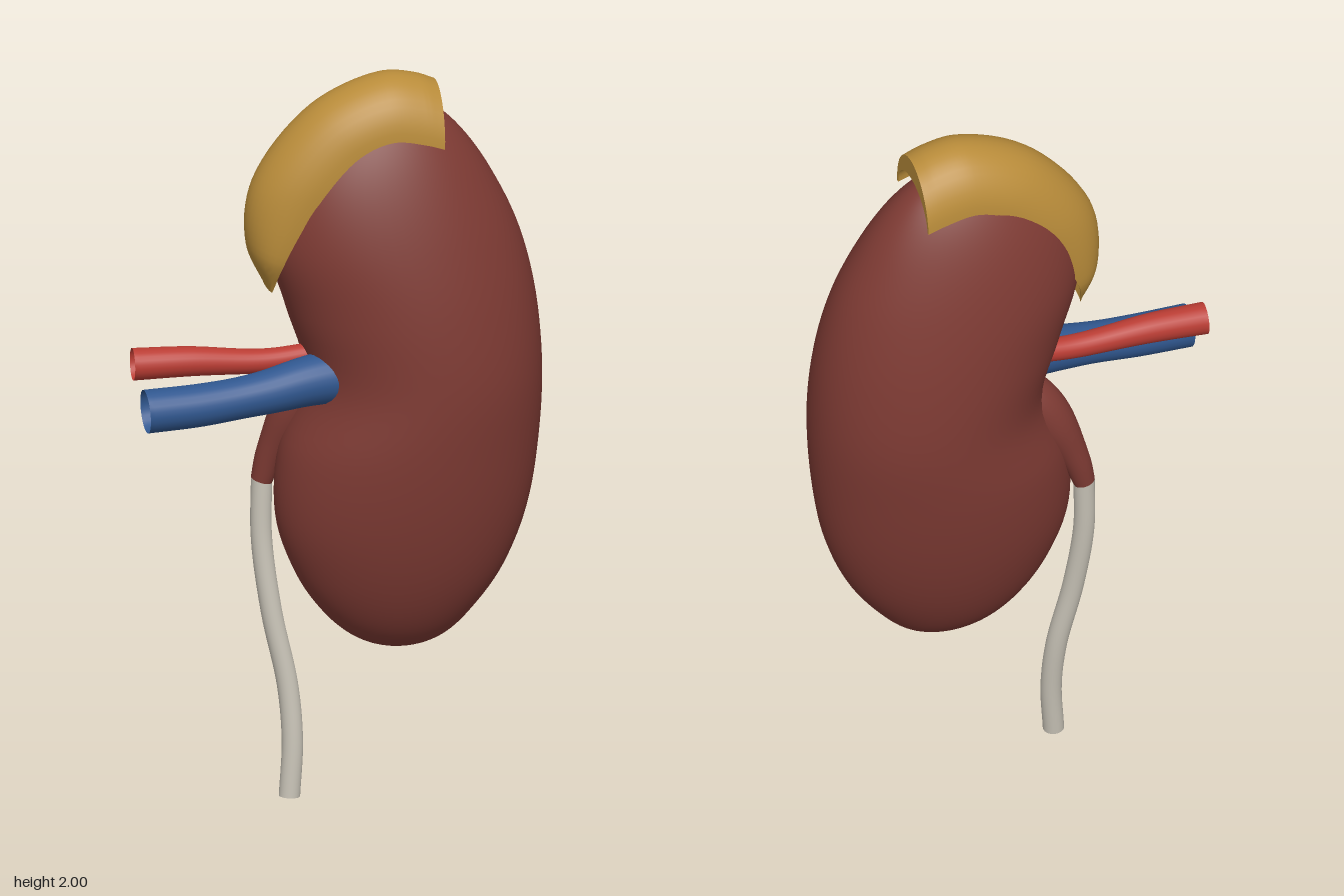
import * as THREE from 'three';
import { toCreasedNormals } from 'three/addons/utils/BufferGeometryUtils.js';

const mat = (name, color, side = THREE.FrontSide) => {
  const m = new THREE.MeshStandardMaterial({ color, side });
  m.name = name;
  return m;
};

// Smooth curve through [x, y, z] points
const curve = (pts) => new THREE.CatmullRomCurve3(pts.map(([x, y, z = 0]) => new THREE.Vector3(x, y, z)));

// Skin over closed rings of equal length
function loft(rings) {
  const n = rings[0].length, index = [];
  for (let i = 0; i < rings.length - 1; i++) {
    for (let j = 0; j < n; j++) {
      const a = i * n + j, b = i * n + (j + 1) % n;
      index.push(a, a + n, b, b, a + n, b + n);
    }
  }
  const g = new THREE.BufferGeometry();
  g.setAttribute('position', new THREE.Float32BufferAttribute(rings.flat(2), 3));
  g.setIndex(index);
  g.computeVertexNormals();
  return g;
}

// Tube whose radius follows a list of values along its length
function vessel(pts, radii) {
  const path = curve(pts), segs = 40, sides = 24;
  const g = new THREE.TubeGeometry(path, segs, 1, sides);
  const width = curve(radii.map((r, i) => [r, i]));
  const pos = g.attributes.position, p = new THREE.Vector3();
  for (let i = 0; i <= segs; i++) {
    const c = path.getPointAt(i / segs), r = width.getPoint(i / segs).x;
    for (let j = 0; j <= sides; j++) {
      const k = i * (sides + 1) + j;
      p.fromBufferAttribute(pos, k).sub(c).multiplyScalar(r).add(c);
      pos.setXYZ(k, p.x, p.y, p.z);
    }
  }
  g.computeVertexNormals();
  // keep the seam smooth
  const nor = g.attributes.normal, q = new THREE.Vector3();
  for (let i = 0; i <= segs; i++) {
    const a = i * (sides + 1), b = a + sides;
    p.fromBufferAttribute(nor, a).add(q.fromBufferAttribute(nor, b)).normalize();
    nor.setXYZ(a, p.x, p.y, p.z);
    nor.setXYZ(b, p.x, p.y, p.z);
  }
  return g;
}

// Bean body: elliptical slices between a notched inner edge and a round outer edge
function bodyGeometry() {
  const inner = [0.17, 0.06, -0.035, -0.115, -0.165, -0.155, -0.085, -0.135, -0.188, -0.165, -0.085, 0.035, 0.16];
  const outer = [0.17, 0.275, 0.36, 0.445, 0.505, 0.535, 0.545, 0.53, 0.487, 0.415, 0.335, 0.25, 0.16];
  const left = curve(inner.map((x, i) => [x, i])), right = curve(outer.map((x, i) => [x, i]));
  const rings = [], steps = 72, sides = 64;
  for (let i = 0; i <= steps; i++) {
    const u = i / steps, t = u * Math.PI;
    const y = 1.167 - 0.762 * Math.cos(t);
    const l = left.getPoint(u).x, r = right.getPoint(u).x;
    const depth = 0.253 * Math.pow(Math.max(0, Math.sin(t)), 1.05);
    const ring = [];
    for (let j = 0; j < sides; j++) {
      const a = j / sides * Math.PI * 2;
      ring.push([(l + r) / 2 + (r - l) / 2 * Math.cos(a), y, 0.015 * Math.cos(t) + depth * Math.sin(a)]);
    }
    rings.push(ring);
  }
  return loft(rings);
}

// Cap gland: a crescent section swept over the upper inner shoulder
function capGeometry() {
  const base = curve([[-0.185, 1.43], [-0.165, 1.52], [-0.07, 1.7], [0.035, 1.815], [0.125, 1.85], [0.215, 1.835], [0.262, 1.82]]);
  const crest = curve([[-0.192, 1.43], [-0.243, 1.55], [-0.228, 1.72], [-0.07, 1.92], [0.12, 2.0], [0.215, 1.99], [0.265, 1.97]]);
  const width = curve([0.05, 0.1, 0.122, 0.125, 0.125, 0.125, 0.125].map((w, i) => [w, i]));
  const steps = 48, arc = 20, rings = [];
  const section = (u, outF, outW) => {
    const b = base.getPoint(u), c = crest.getPoint(u), w = width.getPoint(u).x;
    const at = (k, f, s) => {
      const a = k / arc * Math.PI, p = b.clone().lerp(c, f * Math.sin(a));
      return [p.x, p.y, w * s * Math.cos(a)];
    };
    const ring = [];
    for (let k = 0; k <= arc; k++) ring.push(at(k, outF, outW));
    for (let k = arc; k >= 0; k--) ring.push(at(k, 0.6, 0.93));
    return ring;
  };
  for (let i = 0; i <= steps; i++) rings.push(section(i / steps, 1, 1));
  rings.push(section(1, 0.6, 0.93)); // closes the cut end
  return toCreasedNormals(loft(rings), 0.7);
}

export function createModel() {
  const model = new THREE.Group();
  model.name = 'kidney';
  const both = THREE.DoubleSide;
  const tissue = mat('brown red tissue', 0x7d3a33, both);
  const gold = mat('golden gland', 0xb98c3a, both);
  const red = mat('artery red', 0xb93c33, both);
  const blue = mat('vein blue', 0x30578f, both);
  const pale = mat('pale duct', 0xc6c1b5, both);

  const add = (name, geometry, material) => {
    const mesh = new THREE.Mesh(geometry, material);
    mesh.name = name;
    model.add(mesh);
  };

  add('kidneyBody', bodyGeometry(), tissue);
  add('adrenalGland', capGeometry(), gold);

  // Funnel at the notch, running into the duct
  add('renalPelvis', vessel(
    [[-0.185, 0.86, -0.08], [-0.165, 0.93, -0.075], [-0.12, 1.03, -0.06], [-0.06, 1.13, -0.04], [0.03, 1.2, -0.01]],
    [0.029, 0.042, 0.06, 0.065, 0.06]), tissue);
  add('ureter', vessel(
    [[-0.185, 0.865, -0.08], [-0.187, 0.7, -0.072], [-0.165, 0.5, -0.05], [-0.127, 0.3, -0.027], [-0.118, 0.15, -0.01], [-0.128, 0, 0]],
    [0.028, 0.028, 0.028, 0.028, 0.028, 0.028]), pale);

  // Blood vessels entering the notch
  add('renalArtery', vessel(
    [[-0.55, 1.243, 0.005], [-0.4, 1.242, 0.013], [-0.2, 1.23, 0.02], [-0.09, 1.238, 0.02], [0.02, 1.25, 0.02]],
    [0.043, 0.04, 0.034, 0.031, 0.03]), red);
  add('renalVein', vessel(
    [[-0.538, 1.147, 0.108], [-0.38, 1.153, 0.105], [-0.22, 1.17, 0.098], [-0.1, 1.188, 0.085], [0.0, 1.195, 0.07]],
    [0.058, 0.057, 0.056, 0.064, 0.074]), blue);

  return model;
}
